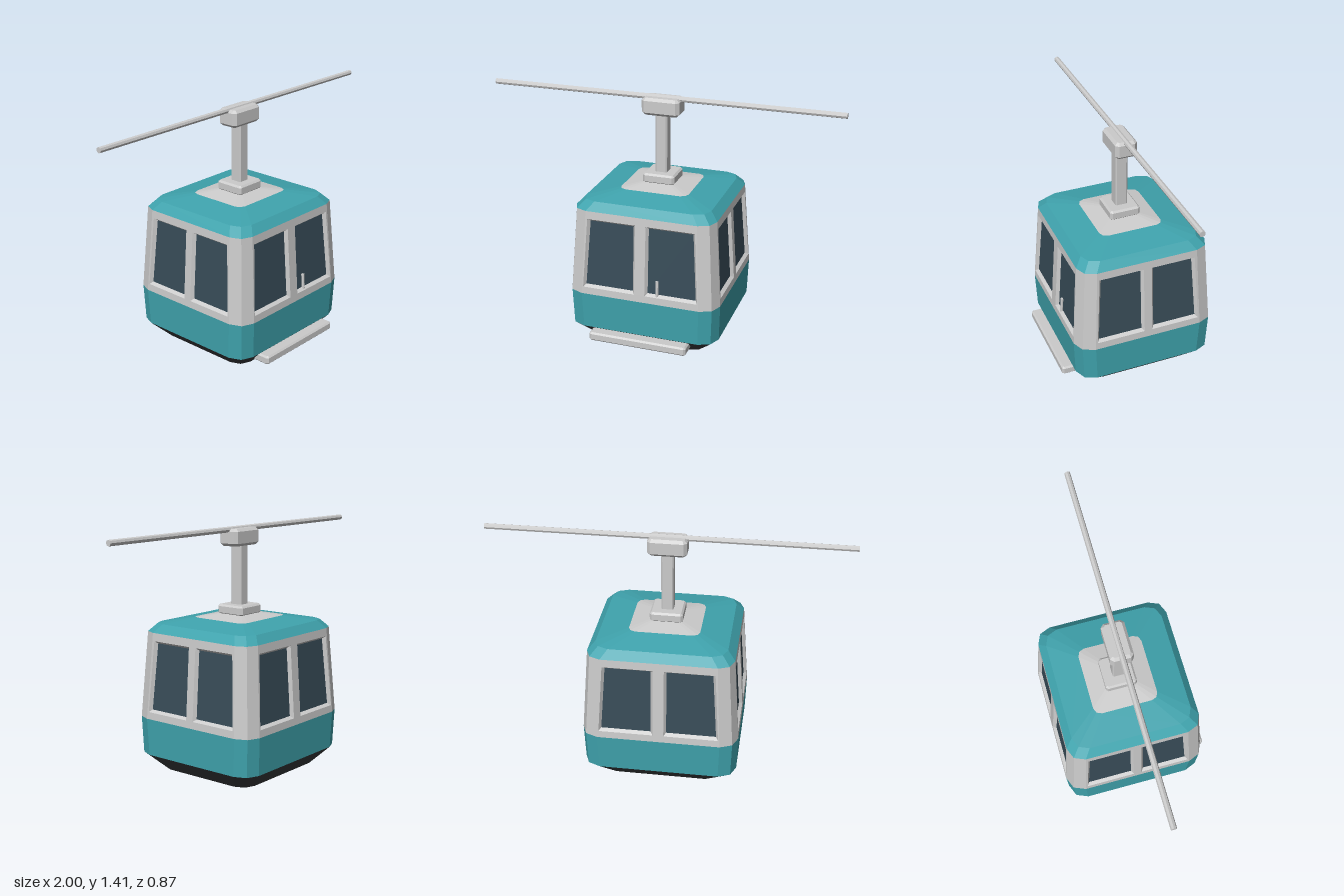
import * as THREE from 'three';

const paint = (color) => new THREE.MeshStandardMaterial({ color, flatShading: true, side: THREE.DoubleSide });
const grey = paint(0xcccccc), teal = paint(0x3fa3ad), dark = paint(0x3a3c3e), glass = paint(0x384c58);

function add(parent, name, geometry, material, x = 0, y = 0, z = 0) {
  const mesh = new THREE.Mesh(geometry, material);
  mesh.name = name;
  mesh.position.set(x, y, z);
  parent.add(mesh);
  return mesh;
}

// Geometry from a list of four-cornered faces, each counter-clockwise
function quads(list) {
  const pos = [];
  for (const [a, b, c, d] of list) for (const p of [a, b, c, a, c, d]) pos.push(...p);
  const g = new THREE.BufferGeometry();
  g.setAttribute('position', new THREE.Float32BufferAttribute(pos, 3));
  g.computeVertexNormals();
  return g;
}

// Horizontal cross-section: rectangle with two-facet corners
function ring({ y, hx, hz, r }) {
  const pts = [];
  for (let k = 0; k < 4; k++) {
    const sx = k === 0 || k === 3 ? 1 : -1, sz = k < 2 ? 1 : -1;
    for (let i = 0; i < 3; i++) {
      const a = (k + i / 2) * Math.PI / 2;
      pts.push([sx * (hx - r) + r * Math.cos(a), y, sz * (hz - r) + r * Math.sin(a)]);
    }
  }
  return pts;
}

// Skin between sections; cornersOnly leaves the four flat sides open
function loft(sections, { cornersOnly = false, capTop = false, capBottom = false } = {}) {
  const rings = sections.map(ring), faces = [];
  for (let s = 0; s + 1 < rings.length; s++) {
    const lo = rings[s], hi = rings[s + 1];
    for (let j = 0; j < 12; j++) {
      if (cornersOnly && j % 3 === 2) continue;
      const n = (j + 1) % 12;
      faces.push([lo[j], hi[j], hi[n], lo[n]]);
    }
  }
  const cap = (pts, up) => {
    for (let j = 1; j < 11; j += 2) {
      const f = [pts[0], pts[j], pts[j + 1], pts[(j + 2) % 12]];
      faces.push(up ? f.reverse() : f);
    }
  };
  if (capTop) cap(rings[rings.length - 1], true);
  if (capBottom) cap(rings[0], false);
  return quads(faces);
}

// Box with every edge chamfered by c, centred on the origin
function chamferBox(w, h, d, c) {
  const x = w / 2 - c, z = d / 2 - c, k = c * 0.6;
  const shape = new THREE.Shape([
    [x, k - z], [x, z - k], [x - k, z], [k - x, z],
    [-x, z - k], [-x, k - z], [k - x, -z], [x - k, -z],
  ].map(([a, b]) => new THREE.Vector2(a, b)));
  const g = new THREE.ExtrudeGeometry(shape, {
    depth: h - 2 * c, bevelThickness: c, bevelSize: c, bevelSegments: 1,
  });
  g.translate(0, 0, c - h / 2);
  return g.rotateX(-Math.PI / 2);
}

// Cabin cross-sections, bottom to top
const FLOOR = { y: 0.045, hx: 0.335, hz: 0.31, r: 0.08 };
const SKIRT = { y: 0.14, hx: 0.428, hz: 0.398, r: 0.095 };
const WAIST = { y: 0.35, hx: 0.434, hz: 0.407, r: 0.095 };
const EAVES = { y: 0.835, hx: 0.4, hz: 0.373, r: 0.085 };
const ROOF = { y: 0.88, hx: 0.358, hz: 0.334, r: 0.08 };
const PLATE = { y: 0.908, hx: 0.195, hz: 0.18, r: 0.04 };
const CROWN = { y: 0.927, hx: 0.085, hz: 0.08, r: 0.02 };

const SILL = 0.39, HEAD = 0.79, RECESS = 0.018, LIP = 0.013;

// One sloping wall with two recessed windows, built facing +z
function wall(name, out, across, inner, outerLow, outerHigh) {
  const group = new THREE.Group();
  group.name = name;
  const depthAt = (y) => THREE.MathUtils.mapLinear(y, WAIST.y, EAVES.y, WAIST[out], EAVES[out]);
  const place = ([u, y], sink = 0) => [u, y, depthAt(y) - sink];
  const vec = (pts) => pts.map(([u, y]) => new THREE.Vector2(u, y));
  const low = WAIST[across] - WAIST.r, high = EAVES[across] - EAVES.r;
  const panel = new THREE.Shape(vec([[-low, WAIST.y], [low, WAIST.y], [high, EAVES.y], [-high, EAVES.y]]));

  for (const side of [1, -1]) {
    const corners = (m) => {
      const pts = [
        [side * (inner + m), SILL + m], [side * (outerLow - m), SILL + m],
        [side * (outerHigh - m), HEAD - m], [side * (inner + m), HEAD - m],
      ];
      return side > 0 ? pts : pts.reverse();
    };
    const opening = corners(0), pane = corners(LIP);
    panel.holes.push(new THREE.Path(vec(opening)));
    const reveal = opening.map((p, i) => {
      const n = (i + 1) % 4;
      return [place(p), place(opening[n]), place(pane[n], RECESS), place(pane[i], RECESS)];
    });
    add(group, 'windowFrame', quads(reveal), grey);
    add(group, 'windowPane', quads([pane.map((p) => place(p, RECESS))]), glass);
  }

  const geometry = new THREE.ShapeGeometry(panel);
  const pos = geometry.attributes.position;
  for (let i = 0; i < pos.count; i++) pos.setZ(i, depthAt(pos.getY(i)));
  geometry.computeVertexNormals();
  add(group, 'wallPanel', geometry, grey);
  return group;
}

export function createModel() {
  const model = new THREE.Group();
  model.name = 'cableCar';
  const car = new THREE.Group();
  car.name = 'car';
  car.position.z = -0.026;
  model.add(car);

  // Cabin shell
  add(car, 'underbody', loft([FLOOR, SKIRT], { capBottom: true }), dark);
  add(car, 'lowerBody', loft([SKIRT, WAIST]), teal);
  add(car, 'cornerPillars', loft([WAIST, EAVES], { cornersOnly: true }), grey);
  add(car, 'roof', loft([EAVES, ROOF, PLATE]), teal);
  add(car, 'roofPlate', loft([PLATE, CROWN], { capTop: true }), grey);

  // Four window walls
  ['frontWall', 'leftWall', 'backWall', 'rightWall'].forEach((name, i) => {
    const w = i % 2 === 0
      ? wall(name, 'hz', 'hx', 0.03, 0.33, 0.305)
      : wall(name, 'hx', 'hz', 0.023, 0.3, 0.275);
    w.rotation.y = i * Math.PI / 2;
    car.add(w);
  });

  // Door handle, front step and bottom skid
  const handle = add(car, 'doorHandle', new THREE.CylinderGeometry(0.009, 0.009, 0.09, 8), grey, 0.098, 0.437, 0.388);
  handle.rotation.x = -0.07;
  add(car, 'frontStep', chamferBox(0.565, 0.05, 0.12, 0.009), grey, 0, 0.112, 0.398);
  add(car, 'bottomSkid', chamferBox(0.47, 0.05, 0.2, 0.008), grey, 0, 0.025, 0);

  // Hanger and cable
  add(car, 'hangerCollar', chamferBox(0.182, 0.056, 0.174, 0.01), grey, 0, 0.949, 0);
  add(car, 'hangerArm', chamferBox(0.068, 0.36, 0.07, 0.006), grey, 0, 1.14, 0);
  add(car, 'cableGrip', chamferBox(0.214, 0.096, 0.124, 0.015), grey, 0, 1.352, 0);
  const cable = add(car, 'cable', new THREE.CylinderGeometry(0.016, 0.016, 2, 8), grey, 0, 1.395, 0);
  cable.rotation.z = Math.PI / 2;

  return model;
}
